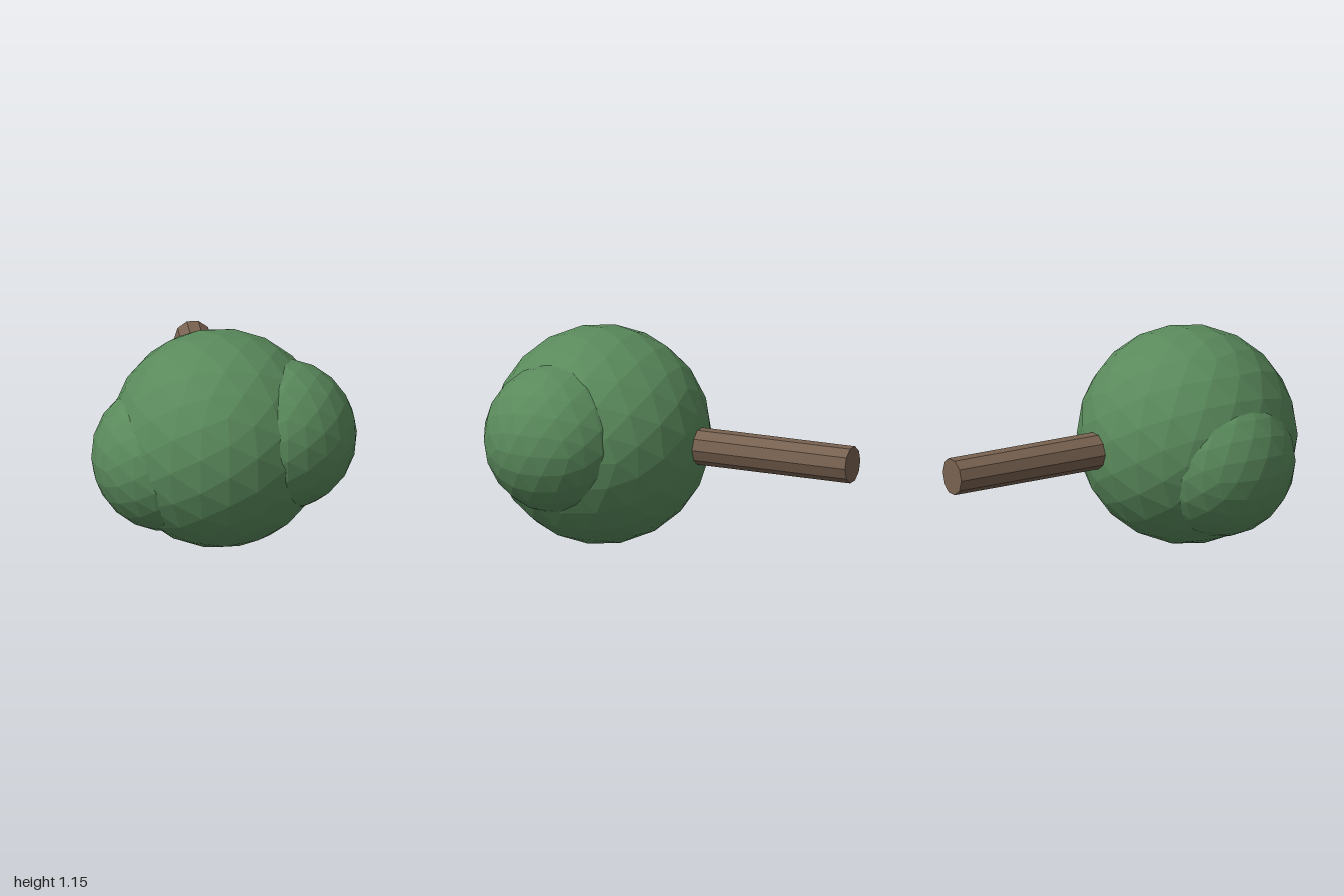
import * as THREE from 'three';

export function createModel() {
  const model = new THREE.Group();
  const leafGreen = new THREE.MeshStandardMaterial({ name: 'leafGreen', color: 0x5a8a5c, flatShading: true });
  const barkBrown = new THREE.MeshStandardMaterial({ name: 'barkBrown', color: 0x786250, flatShading: true });

  // Foliage: three overlapping faceted balls
  const clumps = [
    ['mainFoliage', 0.575, -0.02, 0.575, 0.43],
    ['leftFoliage', 0.397, 0.293, 0.625, 0.53],
    ['rightFoliage', 0.397, -0.295, 0.5, 0.46],
  ];
  for (const [name, radius, x, y, z] of clumps) {
    const clump = new THREE.Mesh(new THREE.IcosahedronGeometry(radius, 3), leafGreen);
    clump.name = name;
    clump.position.set(x, y, z);
    model.add(clump);
  }

  // Trunk: ten-sided cylinder lying along z, running into the main ball
  const start = -1, end = 0.1;
  const trunkGeometry = new THREE.CylinderGeometry(0.0975, 0.0975, end - start, 10);
  trunkGeometry.rotateY(Math.PI / 2).rotateX(Math.PI / 2);
  const trunk = new THREE.Mesh(trunkGeometry, barkBrown);
  trunk.name = 'trunk';
  trunk.position.set(-0.0225, 0.575, (start + end) / 2);
  model.add(trunk);

  return model;
}
